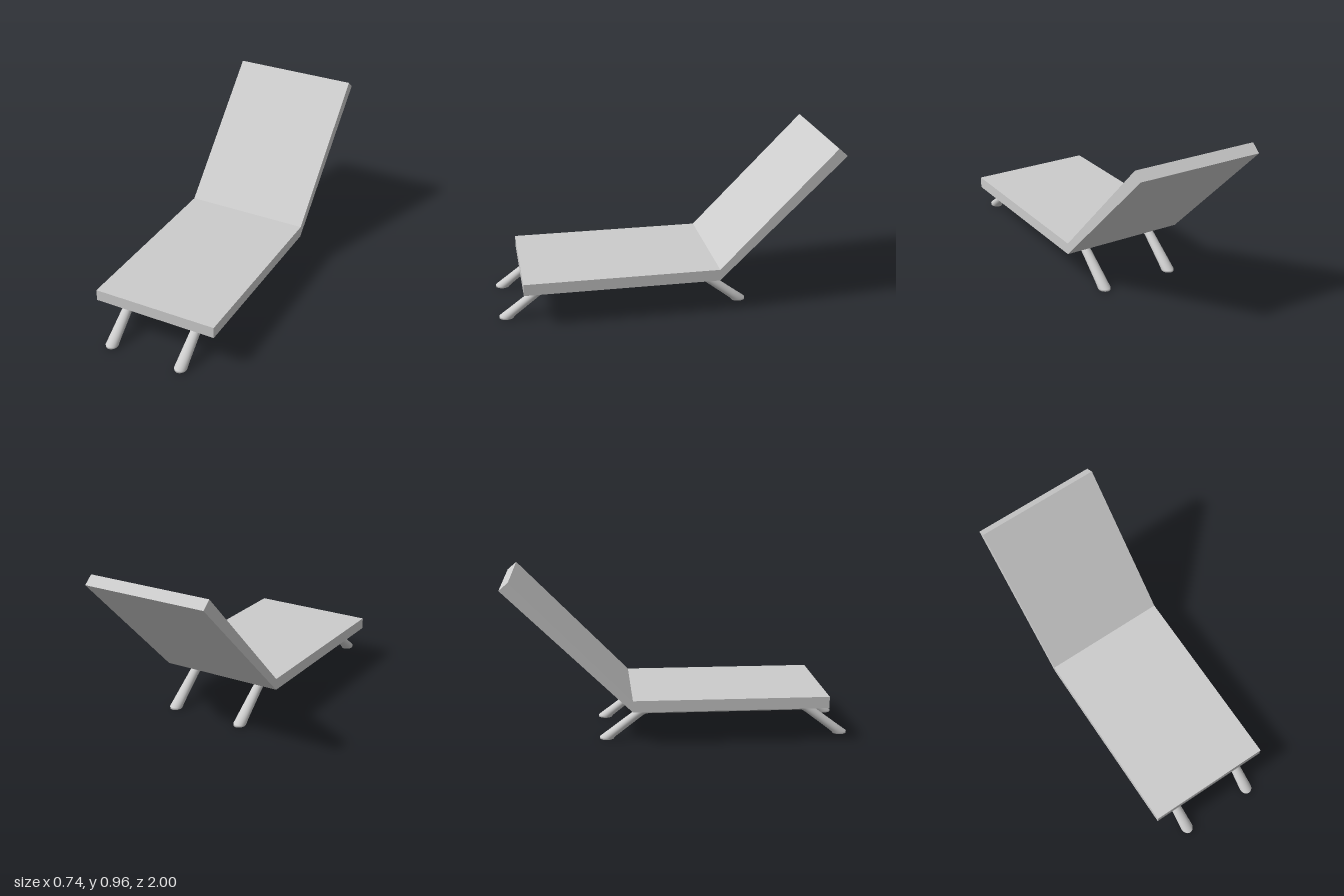
import * as THREE from 'three';

const material = new THREE.MeshStandardMaterial({ color: 0xcccccc });
const WIDTH = 0.744;
const LEG_X = 0.22;
const LEG_MID_Z = 0.27;

// Seat and reclined back: one folded side profile, extruded across the width
function makePad() {
  const profile = [[0.86, 0.2], [-0.27, 0.2], [-1, 0.911], [-0.947, 0.956], [-0.27, 0.267], [0.86, 0.267]];
  const shape = new THREE.Shape(profile.map(([z, y]) => new THREE.Vector2(-z, y)));
  const geometry = new THREE.ExtrudeGeometry(shape, { depth: WIDTH, bevelEnabled: false });
  geometry.translate(0, 0, -WIDTH / 2).rotateY(Math.PI / 2);
  const pad = new THREE.Mesh(geometry, material);
  pad.name = 'seatAndBackrest';
  return pad;
}

// Runner leg: oval rings lofted from the front foot, along the bar, to the back foot
function makeLegGeometry() {
  // z, y, tilt of ring in degrees, half height, half width
  const half = [
    [0.957, 0, 0, 0, 0],
    [0.957, 0, 0, 0.032, 0.029],
    [0.957, 0.003, 0, 0.041, 0.034],
    [0.956, 0.012, 6, 0.042, 0.036],
    [0.916, 0.043, 52, 0.027, 0.034],
    [0.77, 0.154, 52, 0.026, 0.028],
    [0.752, 0.166, 62, 0.026, 0.027],
    [0.735, 0.173, 76, 0.025, 0.026],
    [0.712, 0.175, 90, 0.025, 0.025],
  ];
  const rings = half.map(([z, y, tilt, h, w]) => {
    const a = THREE.MathUtils.degToRad(tilt);
    return { z, y, dz: h * Math.cos(a), dy: h * Math.sin(a), w };
  });
  const mirrored = rings.map((r) => ({ ...r, z: 2 * LEG_MID_Z - r.z, dz: -r.dz })).reverse();
  const all = [...rings, ...mirrored];

  const sides = 24;
  const positions = [];
  const indices = [];
  all.forEach((r, i) => {
    for (let j = 0; j < sides; j++) {
      const t = (j / sides) * Math.PI * 2;
      positions.push(Math.sin(t) * r.w, r.y + Math.cos(t) * r.dy, r.z + Math.cos(t) * r.dz);
      if (i === all.length - 1) continue;
      const a = i * sides + j;
      const b = i * sides + ((j + 1) % sides);
      indices.push(a, b, a + sides, b, b + sides, a + sides);
    }
  });
  const geometry = new THREE.BufferGeometry();
  geometry.setAttribute('position', new THREE.Float32BufferAttribute(positions, 3));
  geometry.setIndex(indices);
  geometry.computeVertexNormals();
  return geometry;
}

export function createModel() {
  const model = new THREE.Group();
  model.name = 'sunLounger';
  model.add(makePad());

  // A matching runner on each side
  const legGeometry = makeLegGeometry();
  for (const side of [1, -1]) {
    const leg = new THREE.Mesh(legGeometry, material);
    leg.name = side > 0 ? 'leftRunnerLeg' : 'rightRunnerLeg';
    leg.position.x = side * LEG_X;
    model.add(leg);
  }
  return model;
}
